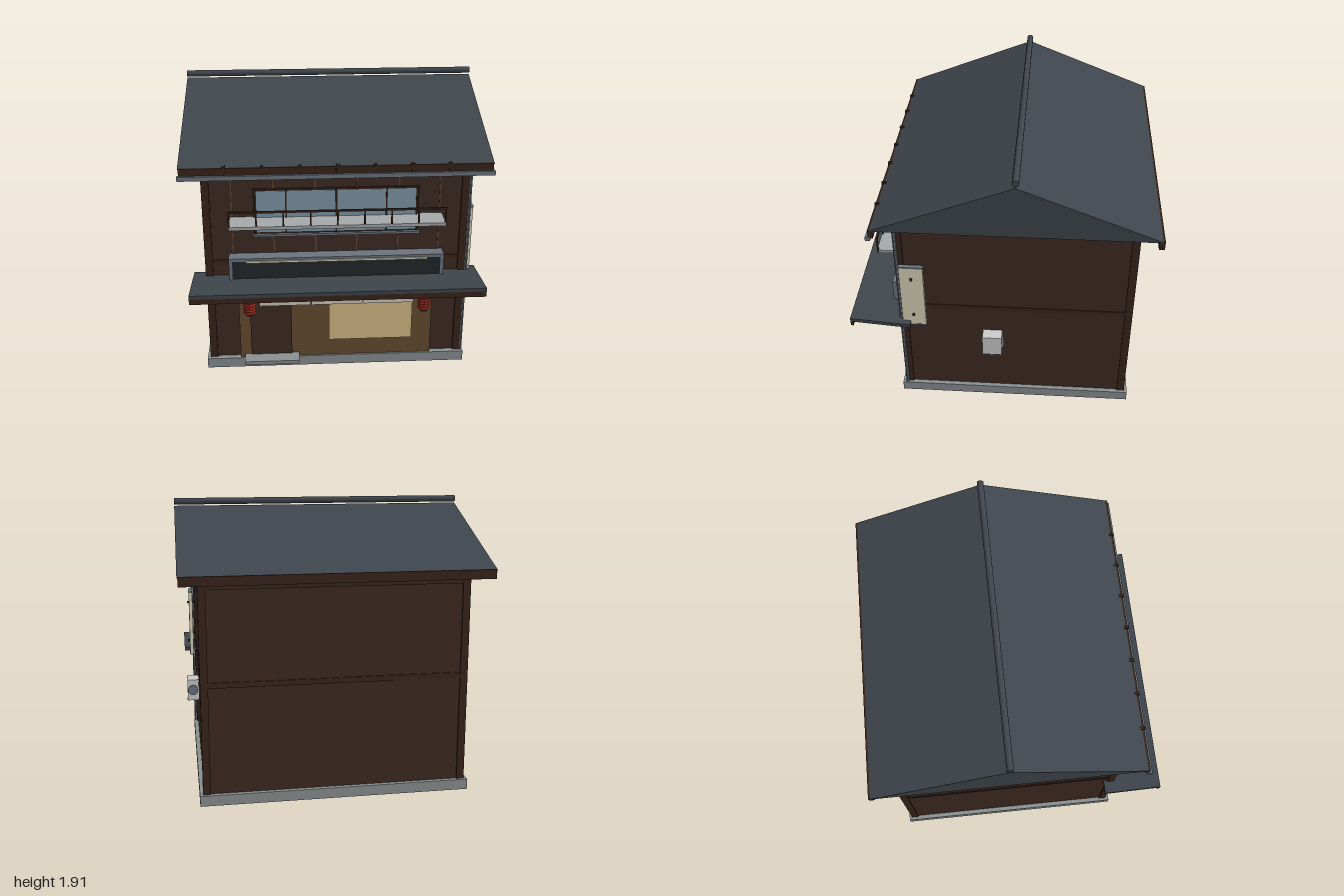
import * as THREE from 'three';

const mat = (color, side = THREE.FrontSide) => new THREE.MeshStandardMaterial({ color, side, flatShading: true });

export function createModel() {
  const M = {
    wall: mat(0x3e2a22), post: mat(0x38241b), beam: mat(0x3a261d), roof: mat(0x3e454c), stone: mat(0x8a8f91),
    metal: mat(0x6b757e), glass: mat(0x8098a8), dark: mat(0x23272c), wood: mat(0x654b31), batten: mat(0x5f4632),
    warm: mat(0xd6bc86), cloth: mat(0xd0c9bf), cream: mat(0xdad3b8), red: mat(0xb5352a), pale: mat(0xa6a9aa),
    white: mat(0xd0d0cc),
  };
  const model = new THREE.Group();
  model.name = 'shopHouse';

  const add = (name, geometry, material, x = 0, y = 0, z = 0) => {
    const mesh = new THREE.Mesh(geometry, material);
    mesh.name = name;
    mesh.position.set(x, y, z);
    model.add(mesh);
    return mesh;
  };
  // Box given by its extents on each axis
  const box = (name, material, [x0, x1], [y0, y1], [z0, z1]) =>
    add(name, new THREE.BoxGeometry(x1 - x0, y1 - y0, z1 - z0), material, (x0 + x1) / 2, (y0 + y1) / 2, (z0 + z1) / 2);
  const rodX = (name, material, r, length, x, y, z, sides = 8) => {
    const rod = add(name, new THREE.CylinderGeometry(r, r, length, sides), material, x, y, z);
    rod.rotation.z = Math.PI / 2;
    return rod;
  };
  // Side profile in (z, y) extruded along x
  const profileX = (name, material, points, x0, x1) => {
    const shape = new THREE.Shape(points.map(([z, y]) => new THREE.Vector2(-z, y)));
    const geometry = new THREE.ExtrudeGeometry(shape, { depth: x1 - x0, bevelEnabled: false });
    geometry.rotateY(Math.PI / 2).translate(x0, 0, 0);
    return add(name, geometry, material);
  };

  // Plinth and walls
  box('foundation', M.stone, [-0.89, 0.89], [0, 0.07], [-0.89, 0.7]);
  box('walls', M.wall, [-0.86, 0.86], [0.07, 1.5], [-0.86, 0.66]);

  // Corner posts and horizontal beams
  for (const s of [-1, 1]) {
    for (const z of [-0.845, 0.65]) {
      box('cornerPost', M.post, [s * 0.845 - 0.025, s * 0.845 + 0.025], [0.07, 1.5], [z - 0.025, z + 0.025]);
    }
    const x = s * 0.855;
    box('sideBeam', M.beam, [x - 0.01, x + 0.01], [0.775, 0.81], [-0.82, 0.63]);
  }
  box('frontBeam', M.beam, [-0.82, 0.82], [0.775, 0.81], [0.65, 0.668]);
  for (const y of [0.775, 1.4]) box('backBeam', M.beam, [-0.82, 0.82], [y, y + 0.035], [-0.868, -0.85]);

  // Gabled roof with ridge, fascias and gutter
  profileX('roof', M.roof, [[0.8, 1.5], [-1, 1.5], [-0.1, 1.857]], -0.995, 0.99);
  rodX('ridgeCap', M.roof, 0.022, 1.985, -0.0025, 1.887, -0.1, 12);
  box('frontFascia', M.post, [-0.99, 0.985], [1.445, 1.505], [0.77, 0.8]);
  box('backFascia', M.post, [-0.99, 0.985], [1.445, 1.505], [-1, -0.965]);
  box('gutter', M.metal, [-1, 0.995], [1.43, 1.458], [0.787, 0.818]);
  for (let i = -3; i <= 3; i++) box('gutterBracket', M.post, [i * 0.237 - 0.01, i * 0.237 + 0.01], [1.45, 1.515], [0.775, 0.805]);
  add('downpipe', new THREE.CylinderGeometry(0.011, 0.011, 1.37, 8), M.metal, 0.876, 0.755, 0.668);
  box('downpipeHead', M.white, [0.862, 0.89], [1.43, 1.5], [0.65, 0.678]);

  // Upper floor battens
  for (const x of [-0.68, -0.41, -0.136, 0.136, 0.41, 0.68]) {
    box('wallBatten', M.batten, [x - 0.004, x + 0.004], [0.81, 1.44], [0.655, 0.666]);
  }

  // Upper window
  box('windowFrame', M.post, [-0.54, 0.54], [1.0, 1.312], [0.655, 0.674]);
  box('windowGlass', M.glass, [-0.525, 0.525], [1.012, 1.3], [0.66, 0.678]);
  for (const x of [-0.525, -0.328, 0, 0.328, 0.525]) {
    box('windowMullion', M.post, [x - 0.005, x + 0.005], [1.005, 1.305], [0.66, 0.684]);
  }
  box('windowSill', M.metal, [-0.548, 0.548], [0.985, 1.0], [0.655, 0.695]);

  // Narrow balcony with railing
  box('balconySlab', M.pale, [-0.695, 0.695], [1.095, 1.117], [0.66, 0.83]);
  box('balconyRail', M.post, [-0.7, 0.7], [1.21, 1.222], [0.818, 0.83]);
  for (let i = -4; i <= 4; i++) {
    const x = i * 0.173;
    box('balconyPost', M.post, [x - 0.005, x + 0.005], [1.1, 1.215], [0.819, 0.829]);
  }

  // Blank signboard with raised frame and light strip
  box('signPanel', M.dark, [-0.69, 0.69], [0.61, 0.84], [0.66, 0.735]);
  for (const y of [0.595, 0.83]) box('signFrame', M.metal, [-0.71, 0.71], [y, y + 0.025], [0.66, 0.748]);
  for (const x of [-0.71, 0.685]) box('signFrame', M.metal, [x, x + 0.025], [0.62, 0.83], [0.66, 0.748]);
  box('signLight', M.cream, [-0.6, 0.6], [0.825, 0.838], [0.735, 0.756]);

  // Sloping awning
  profileX('awning', M.roof, [[1, 0.7], [1, 0.727], [0.6, 0.692], [0.6, 0.665]], -0.953, 0.948);
  box('awningFascia', M.post, [-0.953, 0.948], [0.665, 0.703], [0.982, 1]);

  // Curtain hung in three panels
  rodX('curtainRod', M.post, 0.006, 1.1, 0, 0.638, 0.75);
  for (const x of [-0.348, 0, 0.348]) box('curtainPanel', M.cloth, [x - 0.171, x + 0.171], [0.503, 0.638], [0.748, 0.754]);

  // Shop front: wood panel, door, lit window and doorstep
  box('shopFront', M.wood, [-0.66, 0.655], [0.07, 0.58], [0.655, 0.688]);
  box('door', M.wall, [-0.585, -0.305], [0.08, 0.56], [0.66, 0.698]);
  box('shopWindow', M.warm, [-0.05, 0.52], [0.195, 0.57], [0.66, 0.698]);
  box('doorstep', M.stone, [-0.63, -0.257], [0.07, 0.096], [0.66, 0.793]);

  // Ribbed paper lanterns
  const ribs = [[0, -0.05], [0.034, -0.05]];
  for (let i = 0; i < 5; i++) {
    const y = -0.04 + i * 0.02;
    ribs.push([0.043, y], [0.039, Math.min(y + 0.01, 0.05)]);
  }
  ribs.push([0, 0.05]);
  for (const x of [-0.58, 0.575]) {
    add('lantern', new THREE.LatheGeometry(ribs.map(([r, y]) => new THREE.Vector2(r, y)), 10), M.red, x, 0.545, 0.827);
    for (const y of [0.49, 0.6]) add('lanternCap', new THREE.CylinderGeometry(0.028, 0.028, 0.012, 10), M.dark, x, y, 0.827);
    add('lanternCord', new THREE.CylinderGeometry(0.003, 0.003, 0.1, 6), M.dark, x, 0.65, 0.827);
  }

  // Blank upright sign on the left wall
  box('sideSign', M.cream, [0.88, 0.906], [0.665, 1.148], [0.497, 0.653]);
  for (const y of [0.657, 1.146]) box('sideSignTrim', M.metal, [0.878, 0.908], [y, y + 0.01], [0.494, 0.656]);
  for (const y of [0.755, 1.06]) box('sideSignBracket', M.dark, [0.86, 0.92], [y - 0.007, y + 0.007], [0.568, 0.582]);

  // Ventilation unit on the left wall
  box('ventUnit', M.white, [0.86, 0.94], [0.442, 0.595], [-0.01, 0.12]);
  const fan = add('ventFan', new THREE.CylinderGeometry(0.036, 0.036, 0.016, 16), M.metal, 0.9, 0.52, -0.014);
  fan.rotation.x = Math.PI / 2;
  box('ventBracket', M.metal, [0.86, 0.945], [0.428, 0.442], [0.047, 0.067]);

  return model;
}
